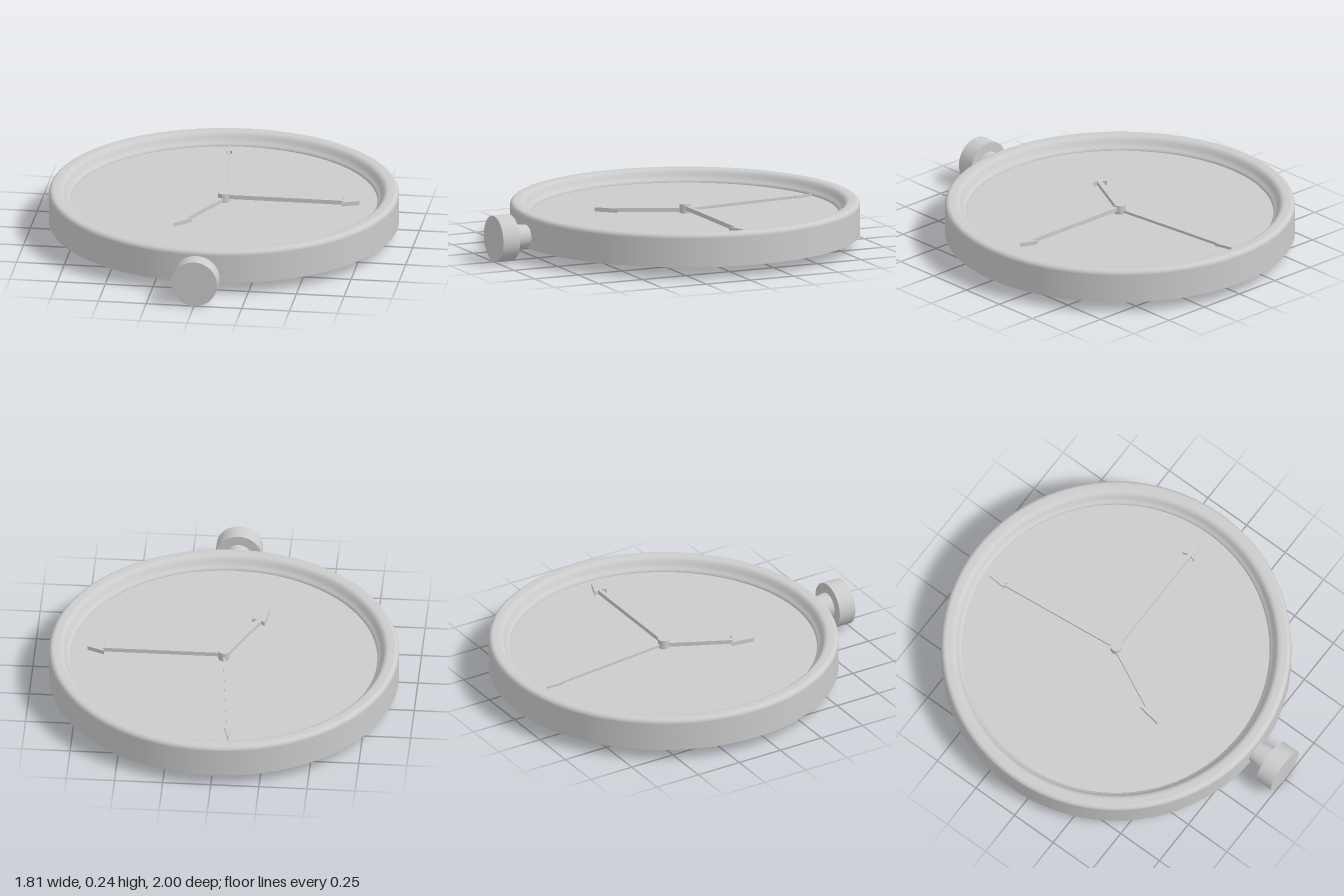
import * as THREE from 'three';

const grey = new THREE.MeshStandardMaterial({ color: 0xcccccc });

function add(parent, name, geometry, x = 0, y = 0, z = 0) {
  const mesh = new THREE.Mesh(geometry, grey);
  mesh.name = name;
  mesh.position.set(x, y, z);
  parent.add(mesh);
  return mesh;
}

// Arrow hand lying flat, pointing along +x
function handGeometry(length, headLength, headHalf, shaftHalf, thickness) {
  const neck = length - headLength;
  const shape = new THREE.Shape();
  shape.moveTo(0, -shaftHalf);
  shape.lineTo(neck, -shaftHalf);
  shape.lineTo(neck - 0.01, -headHalf);
  shape.lineTo(length, 0);
  shape.lineTo(neck - 0.01, headHalf);
  shape.lineTo(neck, shaftHalf);
  shape.lineTo(0, shaftHalf);
  shape.closePath();
  return new THREE.ExtrudeGeometry(shape, { depth: thickness, bevelEnabled: false }).rotateX(-Math.PI / 2);
}

export function createModel() {
  const model = new THREE.Group();
  model.name = 'pocketDial';

  const watch = new THREE.Group();
  watch.name = 'watch';
  watch.position.z = -0.093;
  model.add(watch);

  // Case wall: straight outside, rounded top rim, curved slope down to the dial
  const profile = new THREE.Path();
  profile.moveTo(0.907, 0.06);
  profile.lineTo(0.907, 0.212);
  profile.absarc(0.882, 0.212, 0.025, 0, Math.PI / 2, false);
  profile.lineTo(0.858, 0.237);
  profile.bezierCurveTo(0.825, 0.237, 0.825, 0.205, 0.808, 0.19);
  profile.quadraticCurveTo(0.795, 0.18, 0.795, 0.17);
  add(watch, 'caseRim', new THREE.LatheGeometry(profile.getPoints(8), 96));

  add(watch, 'dial', new THREE.CircleGeometry(0.796, 96).rotateX(-Math.PI / 2), 0, 0.17, 0);
  add(watch, 'caseBack', new THREE.CircleGeometry(0.907, 96).rotateX(Math.PI / 2), 0, 0.06, 0);
  add(watch, 'handHub', new THREE.CylinderGeometry(0.03, 0.03, 0.05, 32), 0, 0.193, 0);

  // Hands: direction (dx, dz), base height, then size
  const hands = [
    ['hourHand', -39, 80, 0.174, [0.47, 0.11, 0.038, 0.013, 0.022]],
    ['minuteHand', 1, 0, 0.187, [0.71, 0.08, 0.037, 0.01, 0.022]],
    ['secondHand', -15, -144, 0.178, [0.765, 0.09, 0.015, 0.005, 0.014]],
  ];
  for (const [name, dx, dz, y, size] of hands) {
    add(watch, name, handGeometry(...size), 0, y, 0).rotation.y = Math.atan2(-dz, dx);
  }

  // Winding crown on a stem that widens toward the knob
  const crownY = 0.122;
  add(model, 'crownStem', new THREE.CylinderGeometry(0.07, 0.055, 0.13, 32).rotateX(Math.PI / 2), 0, crownY, 0.845);
  add(model, 'crownKnob', new THREE.CylinderGeometry(0.121, 0.121, 0.095, 48).rotateX(Math.PI / 2), 0, crownY, 0.9525);

  return model;
}
